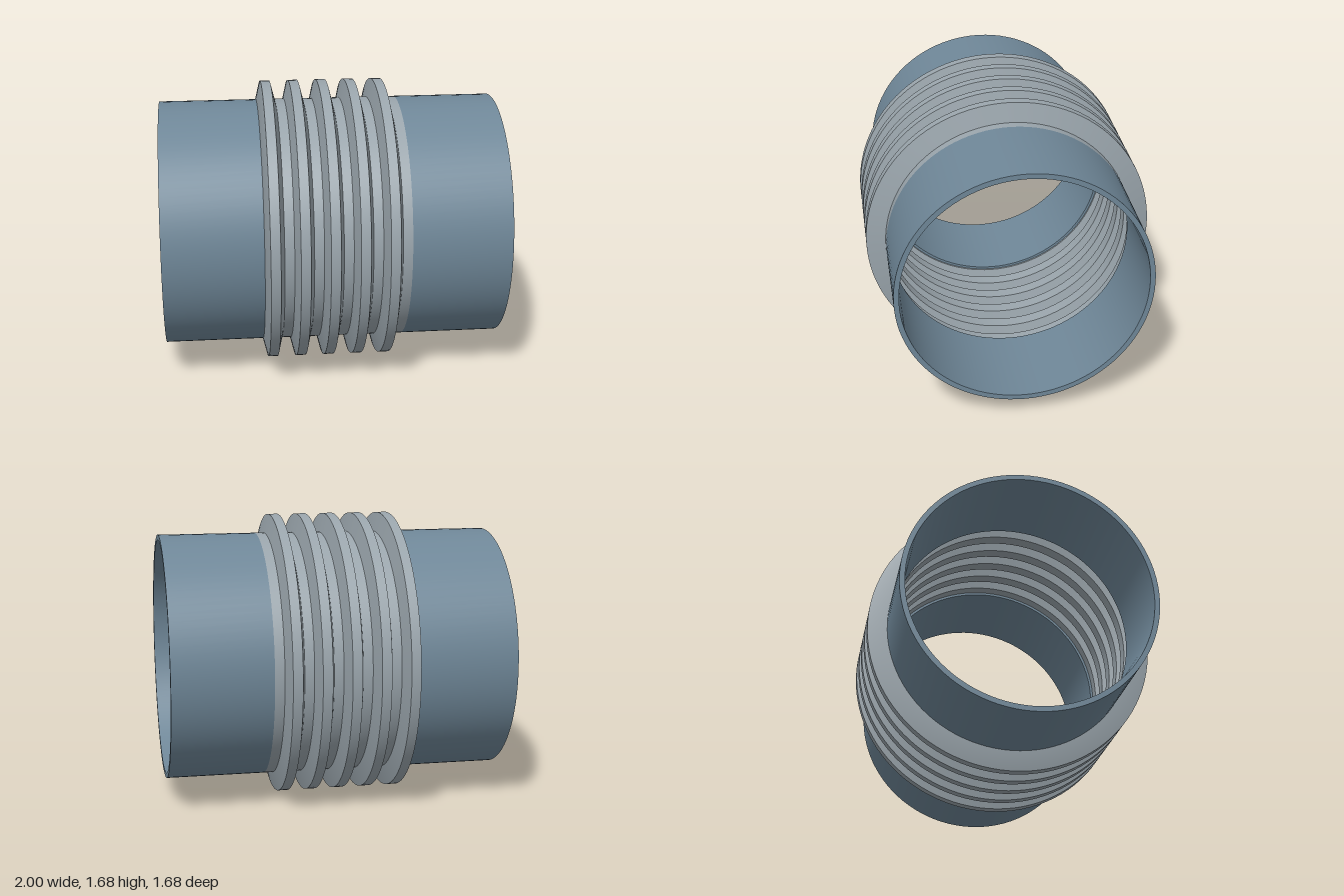
import * as THREE from 'three';
import { toCreasedNormals } from 'three/addons/utils/BufferGeometryUtils.js';

const SEGMENTS = 96;
const OUTER = 0.73, INNER = 0.70;   // pipe radii
const CREST = 0.842;                // ridge radius
const HALF = 0.42;                  // half length of the bellows
const RIDGES = 5;
const WALL = 0.015;                 // sheet thickness of the bellows

// Closed [x, radius] profile revolved around the x axis
function revolve(name, profile, material) {
  const points = [...profile, profile[0]].map(([x, r]) => new THREE.Vector2(r, x));
  const geometry = new THREE.LatheGeometry(points, SEGMENTS);
  geometry.rotateZ(-Math.PI / 2);
  const mesh = new THREE.Mesh(toCreasedNormals(geometry, 0.5), material);
  mesh.name = name;
  return mesh;
}

// One side of the corrugated sheet; inset keeps the wall thickness even
function corrugation(drop, inset) {
  const pitch = (2 * HALF) / RIDGES;
  const points = [];
  if (inset > 0) points.push([-HALF, OUTER - drop]);
  for (let i = 0; i < RIDGES; i++) {
    const x = -HALF + i * pitch;
    points.push(
      [x + inset, OUTER - drop],
      [x + pitch / 6 + inset, CREST - drop],
      [x + pitch / 2 - inset, CREST - drop],
      [x + pitch * 2 / 3 - inset, OUTER - drop],
    );
  }
  points.push([HALF, OUTER - drop]);
  return points;
}

export function createModel() {
  const group = new THREE.Group();
  group.name = 'bellowsCoupling';
  const pipeMaterial = new THREE.MeshStandardMaterial({ color: 0x6f8798 });
  const bellowsMaterial = new THREE.MeshStandardMaterial({ color: 0x9aa5ac });

  // Plain pipe ends
  const pipe = (name, x0, x1) => revolve(name, [
    [x0, OUTER], [x1, OUTER], [x1, INNER], [x0, INNER],
  ], pipeMaterial);
  group.add(pipe('leftPipe', HALF, 1), pipe('rightPipe', -1, -HALF));

  // Thin corrugated sleeve, hollow inside its ridges
  const outside = corrugation(0, 0);
  const inside = corrugation(WALL, WALL * 0.78).reverse();
  group.add(revolve('bellows', [...outside, ...inside], bellowsMaterial));

  // Rest the ridges on the ground
  for (const part of group.children) part.position.y = CREST;
  return group;
}
